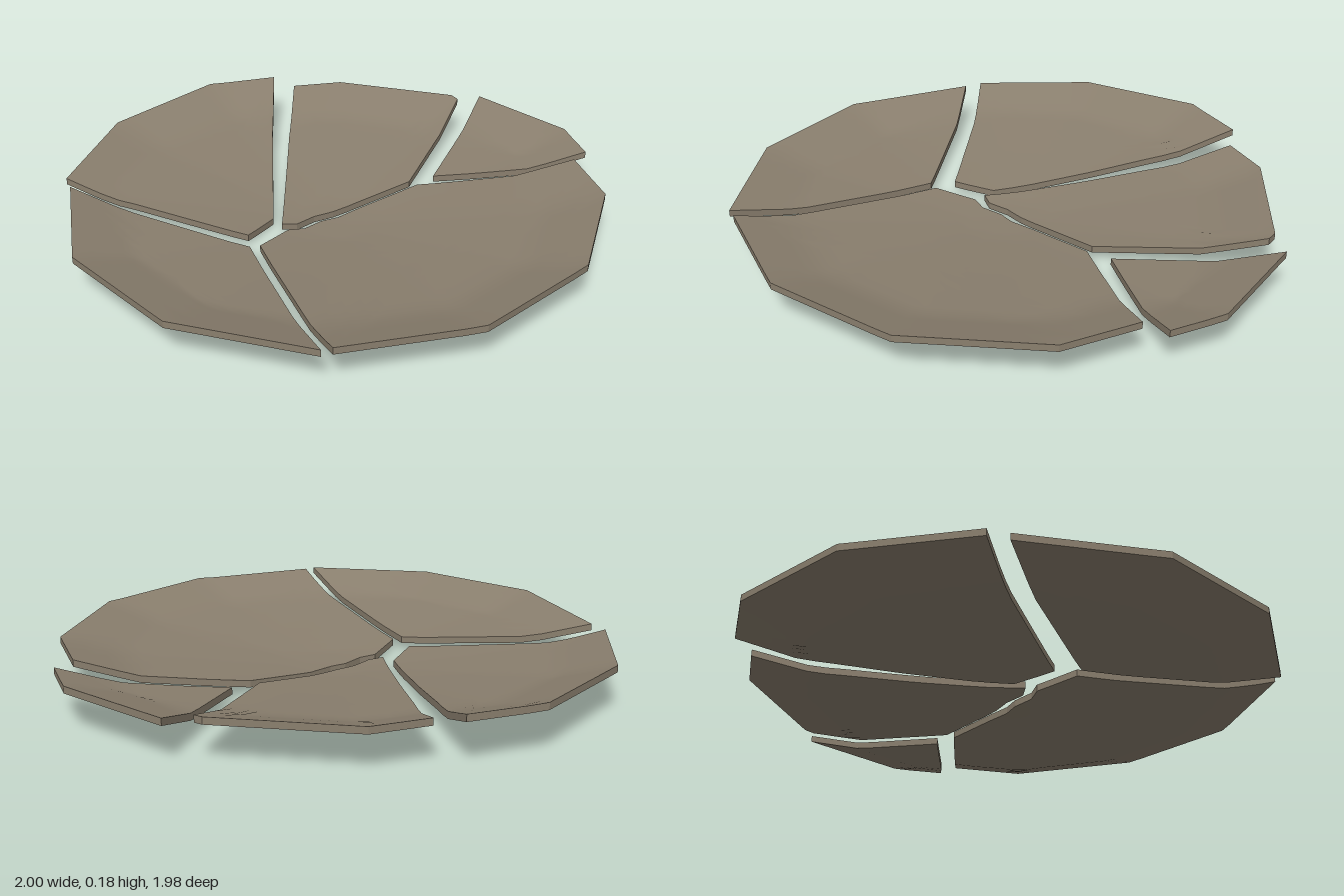
import * as THREE from 'three';

// Shallow dish section: [radius, underside height]
const PROFILE = [[0, 0], [0.15, 0.004], [0.45, 0.033], [0.77, 0.066], [0.985, 0.132], [1.1, 0.167]];
const THICKNESS = 0.025;
const RINGS = 10;

// Radius measured to a twelve-sided rim, so straight rim edges stay level
function rimRadius(x, z) {
  const step = Math.PI / 6;
  const a = Math.atan2(z, x);
  const mid = (Math.floor(a / step) + 0.5) * step;
  return Math.hypot(x, z) * Math.cos(a - mid) / Math.cos(step / 2);
}

function dishHeight(x, z) {
  const r = rimRadius(x, z);
  let i = 1;
  while (i < PROFILE.length - 1 && r > PROFILE[i][0]) i++;
  const [r0, y0] = PROFILE[i - 1], [r1, y1] = PROFILE[i];
  return y0 + (y1 - y0) * (r - r0) / (r1 - r0);
}

// One shard: rings run from a hub out to the broken outline, top and bottom, joined by a wall
function shardGeometry({ outline, hub, shift = [0, 0], tilt = 0 }) {
  const area = outline.reduce((s, [x, z], i) => {
    const [u, v] = outline[(i + 1) % outline.length];
    return s + z * u - x * v;
  }, 0);
  const corners = area > 0 ? outline : [...outline].reverse();

  const edge = [];
  corners.forEach(([x, z], i) => {
    const [u, v] = corners[(i + 1) % corners.length];
    const n = Math.max(1, Math.ceil(Math.hypot(u - x, v - z) / 0.08));
    for (let k = 0; k < n; k++) edge.push([x + (u - x) * k / n, z + (v - z) * k / n]);
  });

  const pos = [], index = [], n = edge.length;
  const add = (x, z, lift) => {
    pos.push(x, dishHeight(x - shift[0], z - shift[1]) - tilt * z + lift, z);
    return pos.length / 3 - 1;
  };
  const tri = (a, b, c, flip) => index.push(a, flip ? c : b, flip ? b : c);

  // Upper and lower skins
  for (const lift of [THICKNESS, 0]) {
    const flip = lift === 0;
    const centre = add(hub[0], hub[1], lift);
    for (let r = 1; r <= RINGS; r++) {
      const t = r / RINGS;
      edge.forEach(([x, z]) => add(hub[0] + (x - hub[0]) * t, hub[1] + (z - hub[1]) * t, lift));
      const outer = centre + 1 + (r - 1) * n, inner = outer - n;
      for (let i = 0; i < n; i++) {
        const j = (i + 1) % n;
        if (r === 1) tri(centre, outer + i, outer + j, flip);
        else {
          tri(inner + i, outer + i, outer + j, flip);
          tri(inner + i, outer + j, inner + j, flip);
        }
      }
    }
  }

  // Flat broken walls with their own vertices, for crisp edges
  edge.forEach(([x, z], i) => {
    const [u, v] = edge[(i + 1) % n];
    const a = add(x, z, 0), b = add(u, v, 0), c = add(u, v, THICKNESS), d = add(x, z, THICKNESS);
    index.push(a, b, c, a, c, d);
  });

  const geometry = new THREE.BufferGeometry();
  geometry.setAttribute('position', new THREE.Float32BufferAttribute(pos, 3));
  geometry.setIndex(index);
  geometry.computeVertexNormals();
  return geometry;
}

// Outlines as [x, z] corners
const SHARDS = {
  mainShard: {
    hub: [0.35, 0.3],
    outline: [[-0.25, 0.22], [-0.16, 0.08], [-0.1, 0.06], [-0.04, 0], [0.02, -0.03], [0.1, -0.1],
      [0.32, -0.245], [0.92, -0.275], [0.995, 0], [0.86, 0.485], [0.505, 0.84], [0.035, 0.97]],
  },
  frontLeftShard: {
    hub: [-0.5, 0.5],
    outline: [[-0.97, 0], [-0.87, 0.03], [-0.72, 0.075], [-0.285, 0.235], [0, 0.985], [-0.49, 0.855], [-0.85, 0.495]],
  },
  backLeftShard: {
    hub: [-0.5, -0.35], shift: [-0.05, -0.04], tilt: 0.02,
    outline: [[-1, -0.07], [-0.895, -0.53], [-0.56, -0.9], [-0.29, -0.98], [-0.27, -0.62], [-0.22, 0],
      [-0.3, 0.14], [-0.36, 0.12], [-0.73, 0]],
  },
  backShard: {
    hub: [0.05, -0.45],
    outline: [[-0.2, -0.94], [0, -0.99], [0.48, -0.865], [0.505, -0.835], [0.29, -0.27], [0.1, -0.145],
      [0, -0.07], [-0.07, -0.03], [-0.13, 0.03], [-0.185, 0.04], [-0.2, -0.6]],
  },
  backRightShard: {
    hub: [0.7, -0.5], shift: [0.07, -0.04],
    outline: [[0.6, -0.86], [0.92, -0.545], [0.975, -0.345], [0.75, -0.325], [0.385, -0.315]],
  },
};

export function createModel() {
  const model = new THREE.Group();
  model.name = 'brokenDish';
  const clay = new THREE.MeshStandardMaterial({ color: 0x8a7f6e });
  clay.name = 'greyBrownClay';
  for (const [name, shard] of Object.entries(SHARDS)) {
    const mesh = new THREE.Mesh(shardGeometry(shard), clay);
    mesh.name = name;
    model.add(mesh);
  }
  return model;
}
